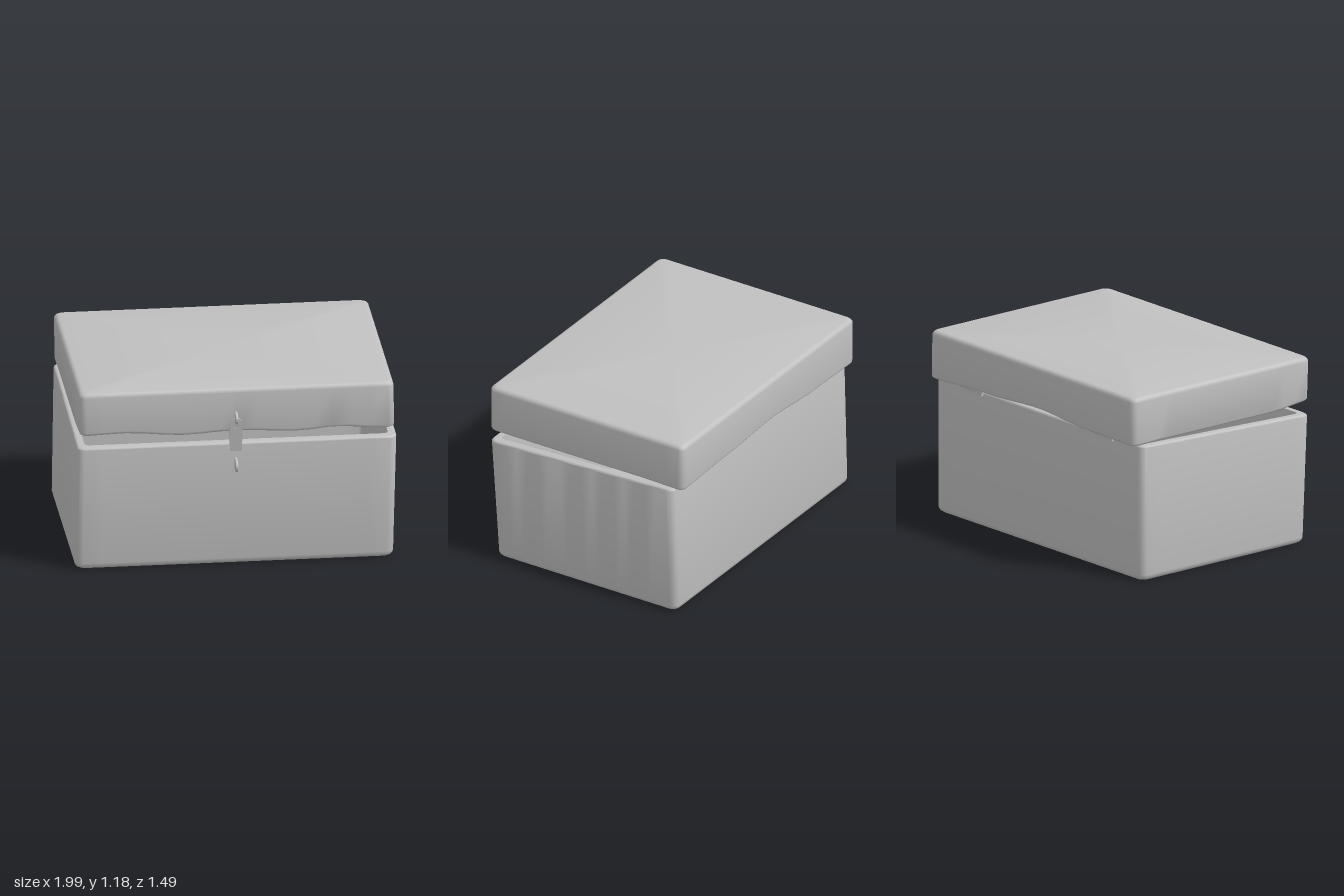
import * as THREE from 'three';
import { mergeVertices, toCreasedNormals } from 'three/addons/utils/BufferGeometryUtils.js';

const grey = new THREE.MeshStandardMaterial({ color: 0xc0c0c0 });
grey.name = 'plain grey';

// Rounded rectangle in plan, with subdivided straight sides
function ring({ x0, x1, z0, z1 }, r, y) {
  const corners = [[x1 - r, z1 - r], [x0 + r, z1 - r], [x0 + r, z0 + r], [x1 - r, z0 + r]];
  const pts = [];
  corners.forEach(([cx, cz], k) => {
    for (let i = 0; i <= 4; i++) {
      const a = (k + i / 4) * Math.PI / 2;
      pts.push([cx + r * Math.cos(a), cz + r * Math.sin(a)]);
    }
    const [ax, az] = pts[pts.length - 1];
    const [nx, nz] = corners[(k + 1) % 4];
    const b = (k + 1) * Math.PI / 2;
    const ex = nx + r * Math.cos(b), ez = nz + r * Math.sin(b);
    for (let i = 1; i < 16; i++) pts.push([ax + (ex - ax) * i / 16, az + (ez - az) * i / 16]);
  });
  return pts.map(([x, z]) => [x, typeof y === 'function' ? y(x, z) : y, z]);
}

// Skin a stack of rings, closing both ends with a centre point
function skin(rings) {
  const centre = (rg) => {
    const c = [0, 0, 0];
    rg.forEach((p) => p.forEach((v, i) => { c[i] += v / rg.length; }));
    return rg.map(() => c);
  };
  const all = [centre(rings[0]), ...rings, centre(rings[rings.length - 1])];
  const n = rings[0].length, index = [];
  for (let i = 0; i < all.length - 1; i++) {
    for (let j = 0; j < n; j++) {
      const a = i * n + j, b = i * n + (j + 1) % n;
      if (i > 0) index.push(a, a + n, b);
      if (i < all.length - 2) index.push(b, a + n, b + n);
    }
  }
  // the first and last bands are fans
  const last = (all.length - 2) * n;
  for (let j = 0; j < n; j++) {
    const k = (j + 1) % n;
    if (!index.length) break;
    void last; void k;
  }
  const g = new THREE.BufferGeometry();
  g.setAttribute('position', new THREE.Float32BufferAttribute(all.flat(2), 3));
  g.setIndex(index);
  return toCreasedNormals(mergeVertices(g), 0.7);
}

const inset = (r, d) => ({ x0: r.x0 + d, x1: r.x1 - d, z0: r.z0 + d, z1: r.z1 - d });
const mix = (a, b, t) => Object.fromEntries(Object.keys(a).map((k) => [k, a[k] + (b[k] - a[k]) * t]));
const arc = [0, 1, 2, 3, 4].map((i) => i / 4 * Math.PI / 2);

function add(parent, name, geometry, x = 0, y = 0, z = 0) {
  const m = new THREE.Mesh(geometry, grey);
  m.name = name;
  m.position.set(x, y, z);
  parent.add(m);
  return m;
}

// Smooth interpolation through [x, y] points
function wave(points) {
  return (x) => {
    let i = 0;
    while (i < points.length - 2 && x > points[i + 1][0]) i++;
    const [[xa, ya], [xb, yb]] = [points[i], points[i + 1]];
    return ya + (yb - ya) * THREE.MathUtils.smoothstep(x, xa, xb);
  };
}

// Hollow box with leaning walls and a rim that rises to the back
function boxGeometry() {
  const low = { x0: -1, x1: 0.98, z0: -0.69, z1: 0.63 };
  const high = { x0: -0.99, x1: 0.995, z0: -0.675, z1: 0.675 };
  const rim = (d) => (x, z) => 0.845 - 0.037 * z - d;
  const R = 0.04, rings = [];
  arc.forEach((a) => rings.push(ring(inset(mix(low, high, 0.03), R * (1 - Math.sin(a))), 0.045, R * (1 - Math.cos(a)))));
  arc.forEach((a) => rings.push(ring(inset(high, 0.015 * (1 - Math.cos(a))), 0.045, rim(0.015 * (1 - Math.sin(a))))));
  rings.push(ring(inset(high, 0.05), 0.03, rim(0)));
  rings.push(ring(inset(low, 0.05), 0.03, 0.05));
  return skin(rings);
}

// Hollow lid with wavy front and back lower edges
function lidGeometry() {
  const low = { x0: -0.975, x1: 0.98, z0: -0.74, z1: 0.685 };
  const high = { x0: -0.98, x1: 0.975, z0: -0.74, z1: 0.69 };
  const front = wave([[-1, 0.9], [-0.7, 0.91], [-0.33, 0.883], [0, 0.9], [0.38, 0.88], [0.62, 0.9], [0.9, 0.878], [1, 0.88]]);
  const back = wave([[-1, 0.872], [-0.5, 0.88], [-0.05, 0.91], [0.4, 0.89], [1, 0.872]]);
  const edge = (d) => (x, z) => {
    const f = THREE.MathUtils.smoothstep(z, 0.4, 0.68), b = THREE.MathUtils.smoothstep(-z, 0.45, 0.73);
    return 0.878 + (front(x) - 0.878) * f + (back(x) - 0.878) * b + d;
  };
  const R = 0.03, rings = [ring(inset(high, 0.05), 0.03, 1.14), ring(inset(low, 0.05), 0.03, edge(0))];
  arc.forEach((a) => rings.push(ring(inset(low, 0.02 * (1 - Math.sin(a))), 0.04, edge(0.02 * (1 - Math.cos(a))))));
  arc.forEach((a) => rings.push(ring(inset(high, R * (1 - Math.cos(a))), 0.04, 1.155 + R * Math.sin(a))));
  return skin(rings);
}

// Thin rounded fin standing out from the front
function pegGeometry(height, depth) {
  const r = height / 2, s = new THREE.Shape();
  s.moveTo(0, -r);
  s.lineTo(depth - r, -r);
  s.absarc(depth - r, 0, r, -Math.PI / 2, Math.PI / 2, false);
  s.lineTo(0, r);
  const g = new THREE.ExtrudeGeometry(s, { depth: 0.008, bevelSize: 0.004, bevelThickness: 0.004, bevelSegments: 2, curveSegments: 10 });
  return g.rotateY(-Math.PI / 2).translate(0.004, 0, 0);
}

// Clasp strap: rounded top with a slot for the upper peg
function strapGeometry() {
  const s = new THREE.Shape();
  s.moveTo(-0.037, 0);
  s.lineTo(0.037, 0);
  s.lineTo(0.041, 0.19);
  s.quadraticCurveTo(0.035, 0.23, 0, 0.235);
  s.quadraticCurveTo(-0.035, 0.23, -0.041, 0.19);
  s.closePath();
  const slot = new THREE.Path();
  slot.absellipse(0, 0.185, 0.014, 0.025, 0, Math.PI * 2, true);
  s.holes.push(slot);
  return new THREE.ExtrudeGeometry(s, { depth: 0.008, bevelEnabled: false, curveSegments: 10 });
}

export function createModel() {
  const model = new THREE.Group();
  model.name = 'hinged box';
  add(model, 'box', boxGeometry());
  add(model, 'lid', lidGeometry());

  // Clasp on the front
  const clasp = new THREE.Group();
  clasp.name = 'clasp';
  model.add(clasp);
  add(clasp, 'strap', strapGeometry(), -0.007, 0.765, 0.666).rotation.x = 0.16;
  add(clasp, 'upperPeg', pegGeometry(0.06, 0.08), -0.007, 0.995, 0.665);
  add(clasp, 'lowerPeg', pegGeometry(0.07, 0.1), -0.007, 0.68, 0.645);

  // Hinges between the back walls
  for (const x of [-0.62, 0.63]) {
    const hinge = new THREE.Group();
    hinge.name = 'hinge';
    hinge.position.x = x;
    model.add(hinge);
    add(hinge, 'hingePin', new THREE.CylinderGeometry(0.01, 0.01, 0.22, 10).rotateZ(Math.PI / 2), 0, 0.872, -0.69);
    add(hinge, 'hingeUpperLeaf', new THREE.BoxGeometry(0.18, 0.06, 0.012), 0, 0.9, -0.685);
    add(hinge, 'hingeLowerLeaf', new THREE.BoxGeometry(0.18, 0.03, 0.012), 0, 0.858, -0.682);
  }
  return model;
}
